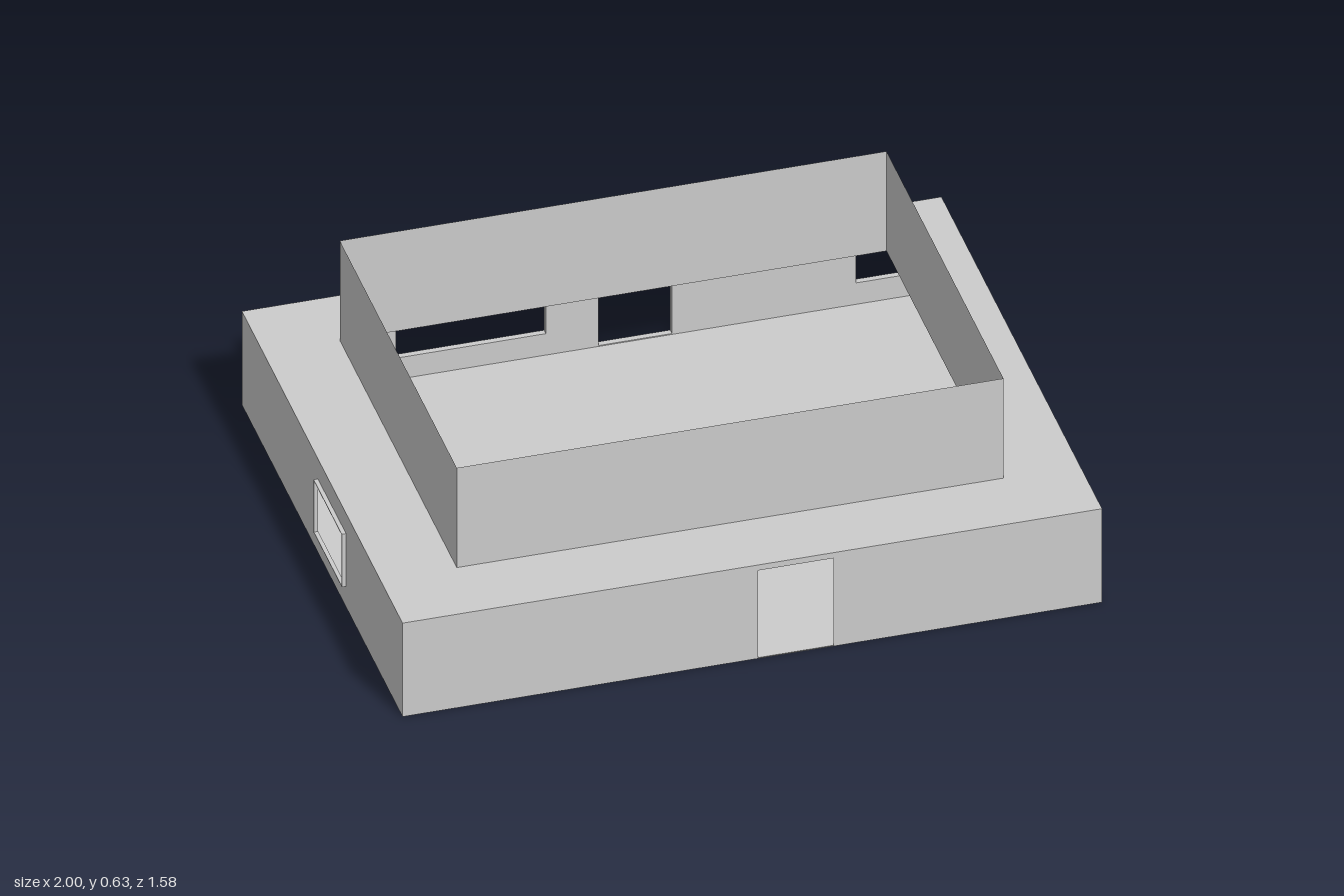
import * as THREE from 'three';

const X0 = -0.988, X1 = 0.98, Z0 = -0.77, Z1 = 0.787; // lower storey
const UX0 = -0.773, UX1 = 0.765, UZ0 = -0.562, UZ1 = 0.572; // upper storey
const LEDGE = 0.306, TOP = 0.632, SILL = 0.07, HEAD = 0.237, DOOR = 0.288;

const material = new THREE.MeshStandardMaterial({ color: 0xcccccc, side: THREE.DoubleSide, flatShading: true });

function trace(path, a, b, y0, y1) {
  path.moveTo(a, y0).lineTo(b, y0).lineTo(b, y1).lineTo(a, y1).closePath();
  return path;
}

function sheet(name, a, b, y0, y1, holes = []) {
  const shape = trace(new THREE.Shape(), a, b, y0, y1);
  for (const h of holes) shape.holes.push(trace(new THREE.Path(), ...h));
  const mesh = new THREE.Mesh(new THREE.ShapeGeometry(shape), material);
  mesh.name = name;
  return mesh;
}

// Thin lip standing out from the wall around an opening
function frame(name, [a, b, y0, y1], depth) {
  const t = 0.003;
  const shape = trace(new THREE.Shape(), a - t, b + t, Math.max(0, y0 - t), y1 + t);
  shape.holes.push(trace(new THREE.Path(), a, b, y0, y1));
  const mesh = new THREE.Mesh(new THREE.ExtrudeGeometry(shape, { depth, bevelEnabled: false }), material);
  mesh.name = name;
  return mesh;
}

// One wall in its own plane, with openings and optional lips, turned into place
function wall(name, a, b, y0, y1, turn, x, z, openings = [], depth = 0) {
  const group = new THREE.Group();
  group.name = name;
  group.add(sheet(name + 'Panel', a, b, y0, y1, openings));
  if (depth) {
    for (const o of openings) group.add(frame(o[3] === DOOR ? 'doorFrame' : 'windowFrame', o, depth));
  }
  group.rotation.y = turn;
  group.position.set(x, 0, z);
  return group;
}

const windowAt = (a, b) => [a, b, SILL, HEAD];
const doorAt = (a, b) => [a, b, 0.003, DOOR];

export function createModel() {
  const model = new THREE.Group();
  model.name = 'house';
  const q = Math.PI / 2;

  // Lower storey walls
  model.add(
    wall('frontWall', X0, X1, 0, LEDGE, 0, 0, Z1, [doorAt(0.012, 0.225)]),
    wall('backWall', -X1, -X0, 0, LEDGE, Math.PI, 0, Z0, [
      windowAt(-0.968, -0.74), doorAt(-0.222, -0.015), windowAt(0.133, 0.555), windowAt(0.643, 0.902),
    ], 0.018),
    wall('leftWall', -Z1, -Z0, 0, LEDGE, q, X1, 0, [windowAt(-0.622, 0.026), windowAt(0.543, 0.764)], 0.02),
    wall('rightWall', Z0, Z1, 0, LEDGE, -q, X0, 0, [windowAt(-0.031, 0.236)], 0.012),
  );

  // Floor and ring-shaped roof ledge
  const floor = sheet('floor', X0, X1, -Z1, -Z0);
  const ledge = sheet('roofLedge', X0, X1, -Z1, -Z0, [[UX0, UX1, -UZ1, -UZ0]]);
  floor.rotation.x = ledge.rotation.x = -q;
  ledge.position.y = LEDGE;
  model.add(floor, ledge);

  // Upper storey, open at the top
  model.add(
    wall('upperFrontWall', UX0, UX1, LEDGE, TOP, 0, 0, UZ1),
    wall('upperBackWall', -UX1, -UX0, LEDGE, TOP, Math.PI, 0, UZ0),
    wall('upperLeftWall', -UZ1, -UZ0, LEDGE, TOP, q, UX1, 0),
    wall('upperRightWall', UZ0, UZ1, LEDGE, TOP, -q, UX0, 0),
  );
  return model;
}
